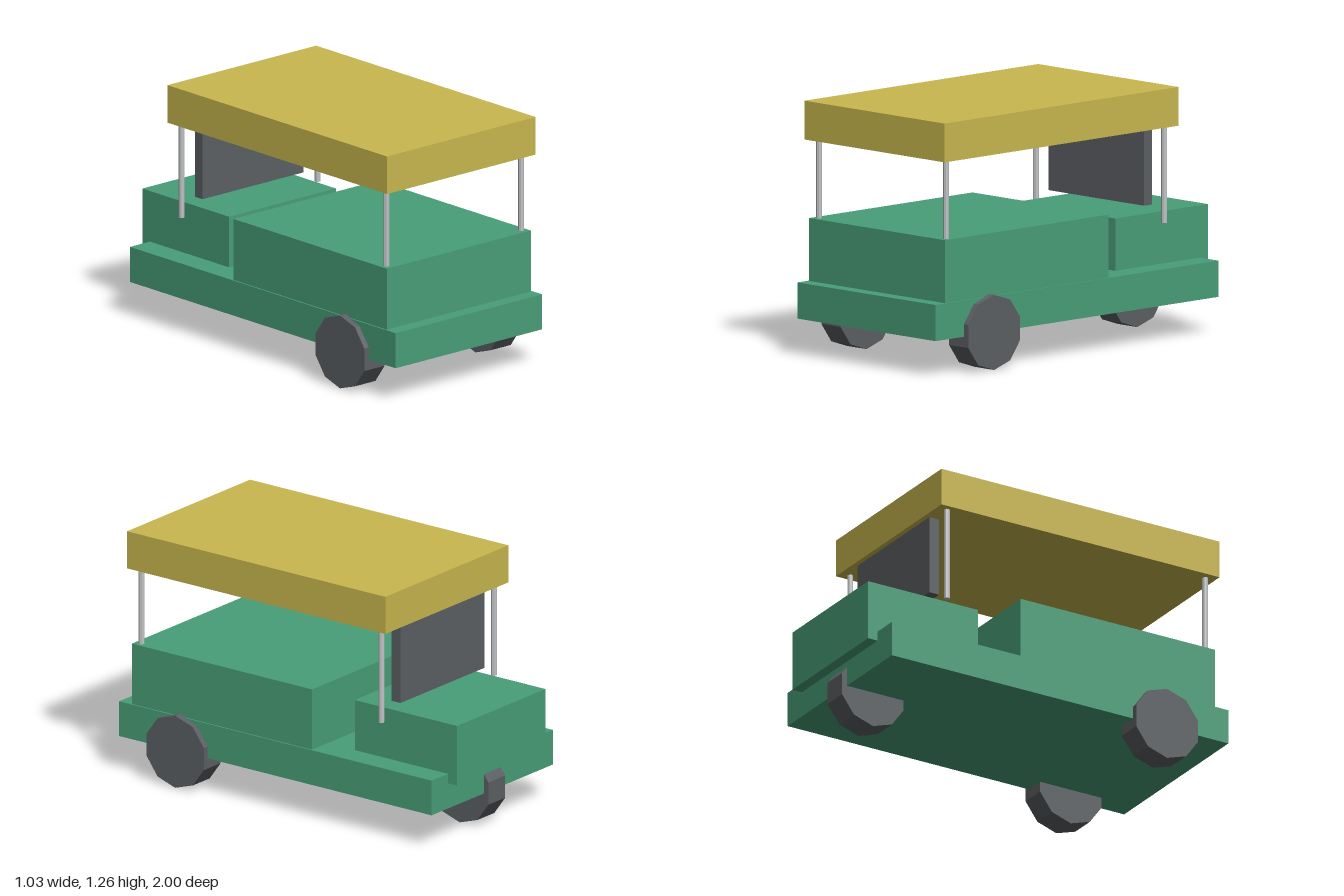
import * as THREE from 'three';

const material = (name, color) => {
  const m = new THREE.MeshStandardMaterial({ color });
  m.name = name;
  return m;
};

export function createModel() {
  const green = material('green body', 0x489f78);
  const yellow = material('yellow roof', 0xc9b84e);
  const grey = material('dark grey', 0x5c6064);
  const metal = material('light metal', 0xc0c2c4);

  const model = new THREE.Group();
  model.name = 'threeWheeledCart';

  const add = (name, geometry, mat, x, y, z) => {
    const mesh = new THREE.Mesh(geometry, mat);
    mesh.name = name;
    mesh.position.set(x, y, z);
    model.add(mesh);
  };

  // Box given by its half width and its y and z ranges
  const box = (name, mat, halfWidth, y0, y1, z0, z1) =>
    add(name, new THREE.BoxGeometry(halfWidth * 2, y1 - y0, z1 - z0), mat,
      0, (y0 + y1) / 2, (z0 + z1) / 2);

  // Body
  box('chassis', green, 0.485, 0.173, 0.353, -0.945, 1);
  box('frontBody', green, 0.477, 0.353, 0.666, -0.195, 0.927);
  box('seatBase', green, 0.353, 0.304, 0.613, -1, -0.364);
  box('backrest', grey, 0.335, 0.65, 1.07, -0.635, -0.58);
  box('roof', yellow, 0.492, 1.057, 1.25, -0.662, 0.945);

  // Ten-sided wheels, each resting on a flat side
  const wheel = new THREE.CylinderGeometry(0.187, 0.187, 0.135, 10).toNonIndexed();
  wheel.rotateZ(Math.PI / 2);
  wheel.rotateX(Math.PI / 2);
  wheel.computeVertexNormals();
  add('frontWheelLeft', wheel, grey, 0.448, 0.178, 0.627);
  add('frontWheelRight', wheel, grey, -0.448, 0.178, 0.627);
  add('rearWheel', wheel, grey, 0, 0.178, -0.795);

  // Roof posts
  const post = (name, x, y0, z) => {
    const geometry = new THREE.CylinderGeometry(0.015, 0.015, 1.06 - y0, 8).toNonIndexed();
    geometry.computeVertexNormals();
    add(name, geometry, metal, x, (y0 + 1.06) / 2, z);
  };
  for (const [side, s] of [['Left', 1], ['Right', -1]]) {
    post('frontPost' + side, s * 0.446, 0.66, 0.89);
    post('rearPost' + side, s * 0.45, 0.576, -0.605);
  }

  return model;
}
